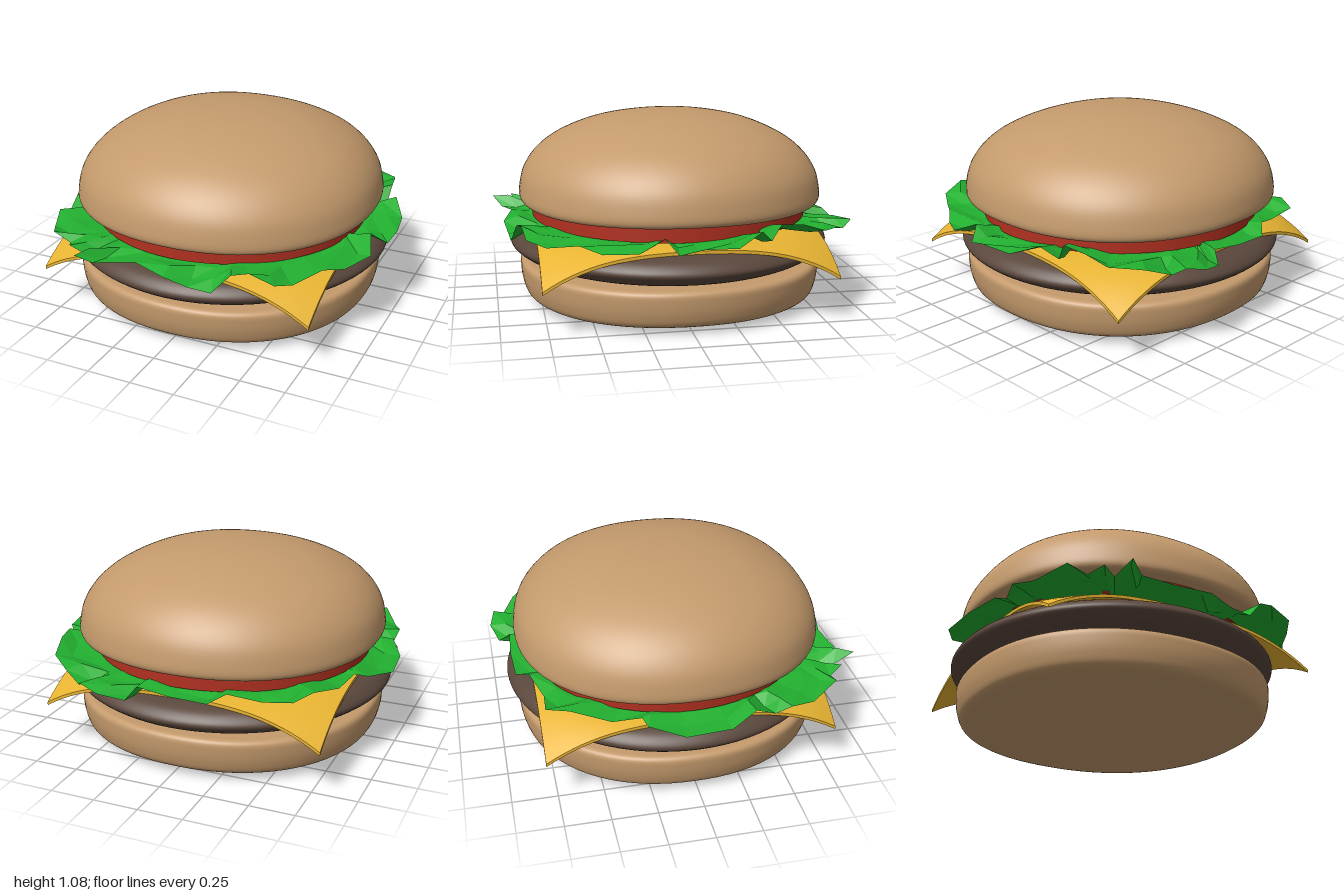
import * as THREE from 'three';

const CENTRE = -0.012;

function mat(color, extra = {}) {
  return new THREE.MeshStandardMaterial({ color, roughness: 0.8, ...extra });
}

// Smooth turned solid from a short profile; squareness > 2 makes the plan slightly boxy
function turned(name, profile, color, squareness = 2) {
  const curve = new THREE.CatmullRomCurve3(
    profile.map(([r, y]) => new THREE.Vector3(r, y, 0)), false, 'centripetal');
  const pts = curve.getPoints(profile.length * 6).map(p => new THREE.Vector2(Math.max(p.x, 0), p.y));
  const geo = new THREE.LatheGeometry(pts, 80);
  const pos = geo.attributes.position;
  for (let i = 0; i < pos.count; i++) {
    const x = pos.getX(i), z = pos.getZ(i), r = Math.hypot(x, z);
    if (r < 1e-5) continue;
    const k = (Math.abs(x / r) ** squareness + Math.abs(z / r) ** squareness) ** (-1 / squareness);
    pos.setX(i, x * k);
    pos.setZ(i, z * k);
  }
  const mesh = new THREE.Mesh(geo, mat(color));
  mesh.name = name;
  mesh.position.set(CENTRE, 0, CENTRE);
  return mesh;
}

// Square slice draped over the patty, corners hanging down
function makeCheese() {
  const geo = new THREE.BoxGeometry(1.59, 0.018, 1.59, 32, 1, 32);
  const pos = geo.attributes.position;
  for (let i = 0; i < pos.count; i++) {
    const r = Math.hypot(pos.getX(i), pos.getZ(i));
    const y = 0.462 - 0.02 * (Math.min(r, 0.8) / 0.8) ** 2 - 1.13 * Math.max(0, r - 0.72) ** 2;
    pos.setY(i, pos.getY(i) + y);
  }
  geo.computeVertexNormals();
  const mesh = new THREE.Mesh(geo, mat(0xe8b432));
  mesh.name = 'cheeseSlice';
  mesh.position.set(CENTRE, 0, CENTRE);
  return mesh;
}

// Ragged leaf: rim points [x, y, z], joined to the middle by rippled rings
function makeLettuce() {
  const rim = [
    [-0.02, 0.48, -0.91], [0.17, 0.50, -0.90], [0.21, 0.44, -0.96], [0.35, 0.47, -1.00],
    [0.47, 0.50, -0.97], [0.51, 0.46, -0.91], [0.63, 0.50, -0.84], [0.77, 0.52, -0.72],
    [0.81, 0.57, -0.58], [0.83, 0.58, -0.46], [0.82, 0.49, -0.41], [0.89, 0.56, -0.34],
    [0.97, 0.50, -0.20], [1.00, 0.51, 0.00], [0.98, 0.48, 0.11], [0.90, 0.55, 0.17],
    [0.95, 0.49, 0.31], [0.86, 0.47, 0.48], [0.78, 0.50, 0.59], [0.68, 0.47, 0.75],
    [0.62, 0.50, 0.85], [0.49, 0.55, 0.87], [0.40, 0.53, 0.89], [0.30, 0.42, 0.92],
    [0.17, 0.43, 0.93], [0.04, 0.47, 0.95], [-0.15, 0.49, 0.90], [-0.38, 0.46, 0.95],
    [-0.46, 0.51, 1.00], [-0.49, 0.46, 0.87], [-0.56, 0.50, 0.89], [-0.61, 0.47, 0.81],
    [-0.72, 0.51, 0.80], [-0.82, 0.46, 0.64], [-0.88, 0.49, 0.50], [-0.87, 0.45, 0.41],
    [-0.89, 0.50, 0.30], [-0.97, 0.46, 0.15], [-0.99, 0.46, -0.10], [-0.90, 0.49, -0.28],
    [-0.83, 0.50, -0.30], [-0.79, 0.47, -0.45], [-0.72, 0.52, -0.66], [-0.65, 0.50, -0.78],
    [-0.48, 0.47, -0.77], [-0.31, 0.51, -0.83], [-0.23, 0.47, -0.90],
  ].map(p => new THREE.Vector3(...p));
  const n = rim.length, rings = [0.6, 0.82, 0.91, 1];
  const verts = [0, 0.485, 0], index = [];
  rings.forEach((f, j) => {
    rim.forEach((p, i) => {
      const ripple = j === 2 ? 0.022 * Math.sin(i * 2.3) : j === 1 ? 0.008 * Math.sin(i * 1.7) : 0;
      verts.push(p.x * f, THREE.MathUtils.lerp(0.487, p.y, f ** 6) + ripple, p.z * f);
    });
    for (let i = 0; i < n; i++) {
      const a = 1 + j * n + i, b = 1 + j * n + (i + 1) % n;
      if (j === 0) index.push(0, b, a);
      else index.push(a - n, b - n, b, a - n, b, a);
    }
  });
  const geo = new THREE.BufferGeometry();
  geo.setAttribute('position', new THREE.Float32BufferAttribute(verts, 3));
  geo.setIndex(index);
  geo.computeVertexNormals();
  const mesh = new THREE.Mesh(geo, mat(0x22b030, { flatShading: true, side: THREE.DoubleSide }));
  mesh.name = 'lettuceLeaf';
  return mesh;
}

export function createModel() {
  const group = new THREE.Group();
  group.name = 'hamburger';
  const bun = 0xc49a6c;

  group.add(turned('bottomBun', [
    [0, 0], [0.4, 0.004], [0.66, 0.012], [0.78, 0.028], [0.835, 0.055], [0.858, 0.11],
    [0.868, 0.18], [0.866, 0.225], [0.85, 0.242], [0.8, 0.246], [0, 0.248],
  ], bun, 2.2));

  group.add(turned('pattyDisc', [
    [0, 0.25], [0.72, 0.25], [0.8, 0.262], [0.88, 0.298], [0.923, 0.345],
    [0.885, 0.395], [0.8, 0.424], [0.7, 0.43], [0, 0.43],
  ], 0x5a473c));

  group.add(makeCheese());
  group.add(makeLettuce());

  // Tomato slice
  const tomato = new THREE.Mesh(new THREE.CylinderGeometry(0.795, 0.795, 0.09, 64), mat(0xb03020));
  tomato.name = 'tomatoSlice';
  tomato.position.set(CENTRE, 0.535, CENTRE);
  group.add(tomato);

  group.add(turned('topBun', [
    [0, 0.576], [0.8, 0.576], [0.85, 0.582], [0.866, 0.605], [0.862, 0.67], [0.84, 0.75],
    [0.79, 0.83], [0.71, 0.905], [0.6, 0.968], [0.45, 1.025], [0.25, 1.066], [0.1, 1.078], [0, 1.08],
  ], bun, 2.2));

  return group;
}
